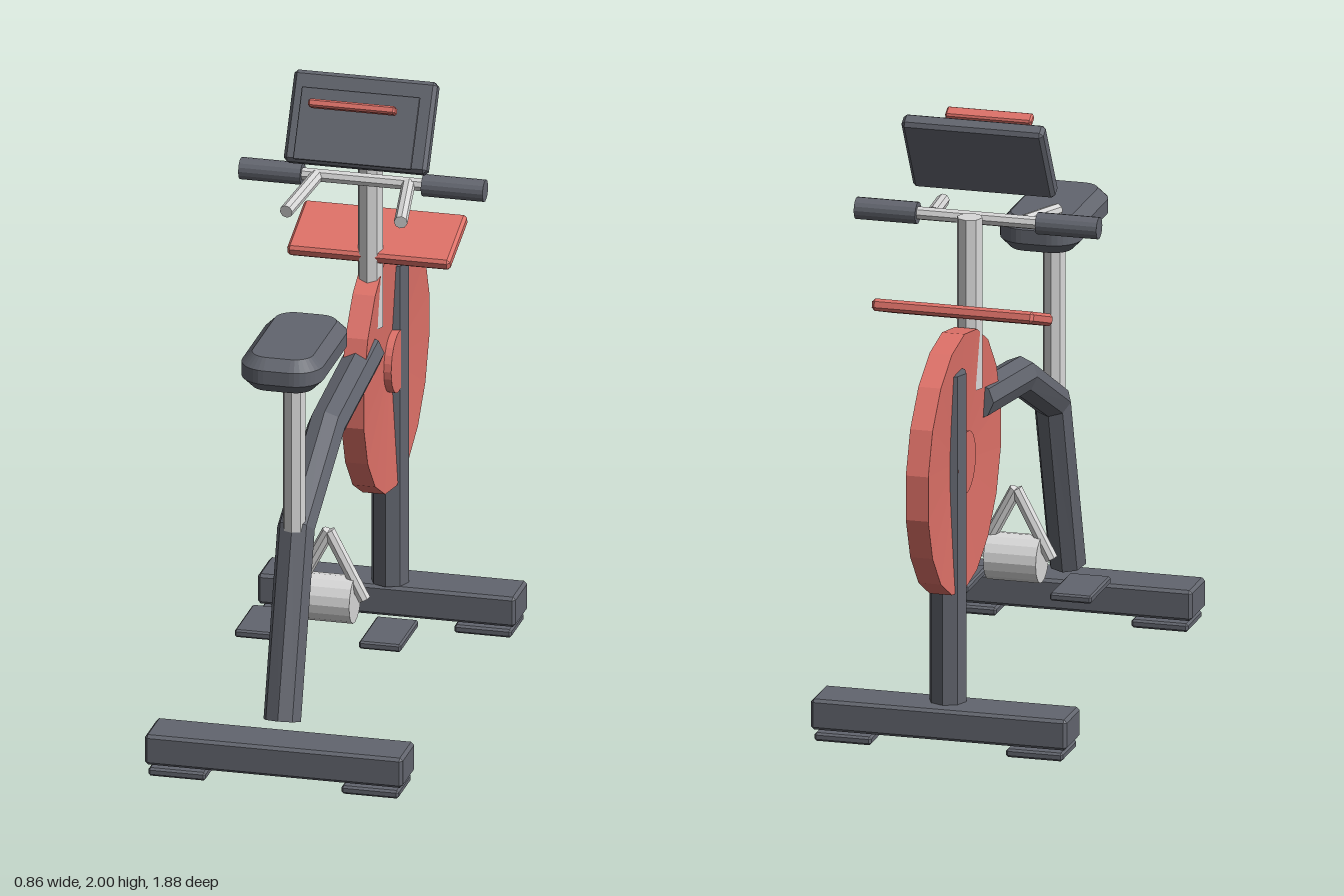
import * as THREE from 'three';
import { ConvexGeometry } from 'three/addons/geometries/ConvexGeometry.js';

const mat = (name, color) => new THREE.MeshStandardMaterial({ name, color });
const V = (x, y, z) => new THREE.Vector3(x, y, z);

// faceted normals for low-poly shapes
function flat(geometry) {
  const g = geometry.index ? geometry.toNonIndexed() : geometry;
  g.computeVertexNormals();
  return g;
}

// box with chamfered edges
function chamferBox(w, h, d, b) {
  const pts = [], x = w / 2, y = h / 2, z = d / 2;
  for (const i of [-1, 1]) for (const j of [-1, 1]) for (const k of [-1, 1]) {
    pts.push(V(i * x, j * (y - b), k * (z - b)));
    pts.push(V(i * (x - b), j * y, k * (z - b)));
    pts.push(V(i * (x - b), j * (y - b), k * z));
  }
  return new ConvexGeometry(pts);
}

// octagonal beam swept through points in the x = 0 plane, with capped ends
function beamGeometry(points, radius, sides = 8) {
  const pos = [], index = [], n = points.length;
  points.forEach((p, i) => {
    const t = V(0, 0, 0);
    if (i > 0) t.add(p.clone().sub(points[i - 1]).normalize());
    if (i < n - 1) t.add(points[i + 1].clone().sub(p).normalize());
    const up = t.normalize().cross(V(1, 0, 0));
    for (let k = 0; k < sides; k++) {
      const a = (k / sides) * Math.PI * 2;
      const q = p.clone().addScaledVector(up, Math.sin(a) * radius);
      pos.push(q.x + Math.cos(a) * radius, q.y, q.z);
    }
  });
  for (let i = 0; i < n - 1; i++) {
    for (let k = 0; k < sides; k++) {
      const a = i * sides + k, b = i * sides + ((k + 1) % sides);
      index.push(a, b, a + sides, b, b + sides, a + sides);
    }
  }
  const last = (n - 1) * sides;
  for (let k = 1; k < sides - 1; k++) {
    index.push(0, k + 1, k, last, last + k, last + k + 1);
  }
  const g = new THREE.BufferGeometry();
  g.setAttribute('position', new THREE.Float32BufferAttribute(pos, 3));
  g.setIndex(index);
  return flat(g);
}

// rounded-corner cushion outline, bevelled above and below
function cushionGeometry(w, d, h, corner, bevel) {
  const x = w / 2 - bevel, y = d / 2 - bevel, r = corner;
  const s = new THREE.Shape();
  s.moveTo(-x + r, -y);
  s.lineTo(x - r, -y);
  s.absarc(x - r, -y + r, r, -Math.PI / 2, 0);
  s.absarc(x - r, y - r, r, 0, Math.PI / 2);
  s.absarc(-x + r, y - r, r, Math.PI / 2, Math.PI);
  s.absarc(-x + r, -y + r, r, Math.PI, Math.PI * 1.5);
  const g = new THREE.ExtrudeGeometry(s, {
    depth: h - 2 * bevel, bevelEnabled: true, bevelThickness: bevel,
    bevelSize: bevel, bevelSegments: 1, curveSegments: 4,
  });
  g.translate(0, 0, -h / 2 + bevel);
  g.rotateX(-Math.PI / 2);
  return g;
}

export function createModel() {
  const group = new THREE.Group();
  group.name = 'exerciseBike';
  const dark = mat('dark grey', 0x62656e);
  const red = mat('coral red', 0xde7168);
  const light = mat('light grey', 0xd8d8d8);

  const add = (name, geometry, material, x = 0, y = 0, z = 0, tilt = 0) => {
    const m = new THREE.Mesh(geometry, material);
    m.name = name;
    m.position.set(x, y, z);
    m.rotation.x = tilt;
    group.add(m);
    return m;
  };
  const box = (name, material, size, at, tilt = 0, bevel = 0.01) =>
    add(name, chamferBox(...size, bevel), material, ...at, tilt);
  const rod = (name, material, a, b, radius, sides = 8) => {
    const g = flat(new THREE.CylinderGeometry(radius, radius, a.distanceTo(b), sides));
    const m = add(name, g, material, ...a.clone().add(b).multiplyScalar(0.5));
    m.quaternion.setFromUnitVectors(V(0, 1, 0), b.clone().sub(a).normalize());
    return m;
  };
  // wheel with its axis across the bike; its faces may dip towards the centre
  const wheel = (name, material, radius, rim, centre, sides, y, z) => {
    const profile = [[0, -centre], [radius, -rim], [radius, rim], [0, centre]];
    const g = new THREE.LatheGeometry(profile.map(p => new THREE.Vector2(...p)), sides, Math.PI / 2);
    g.rotateZ(Math.PI / 2);
    return add(name, flat(g), material, 0, y, z);
  };

  // floor bars and their pads
  for (const [name, z] of [['frontFloorBar', 0.853], ['rearFloorBar', -0.608]]) {
    box(name, dark, [0.855, 0.103, 0.168], [0, 0.088, z]);
    for (const s of [-1, 1]) box('floorPad', dark, [0.19, 0.028, 0.168], [s * 0.32, 0.014, z], 0, 0.007);
  }

  // main frame and upright
  const path = [V(0, 0.188, 0.818), V(0, 0.783, 0.64), V(0, 0.985, 0.25), V(0, 1.05, -0.262)];
  add('mainFrame', beamGeometry(path, 0.062), dark);
  rod('wheelPost', dark, V(0, 0.14, -0.578), V(0, 1.243, -0.578), 0.062);

  // flywheel
  wheel('flywheel', red, 0.43, 0.0375, 0.016, 18, 0.924, -0.515);
  wheel('flywheelHub', red, 0.103, 0.046, 0.046, 24, 0.924, -0.515);

  // seat
  rod('seatPost', light, V(0, 0.79, 0.663), V(0, 1.35, 0.663), 0.038);
  add('seat', cushionGeometry(0.27, 0.478, 0.115, 0.06, 0.034), dark, 0, 1.396, 0.661);

  // handlebar
  rod('handlebarStem', light, V(0, 1.116, -0.323), V(0, 1.688, -0.323), 0.042);
  rod('handlebar', light, V(-0.21, 1.656, -0.228), V(0.21, 1.656, -0.228), 0.022);
  for (const s of [-1, 1]) {
    rod('grip', dark, V(s * 0.2, 1.656, -0.228), V(s * 0.405, 1.656, -0.228), 0.036, 16);
    rod('handlebarHorn', light, V(s * 0.152, 1.656, -0.22), V(s * 0.19, 1.623, 0.027), 0.022);
  }

  // tray
  box('tray', red, [0.54, 0.04, 0.25], [0, 1.394, -0.412], 0.32);

  // console
  const lean = -Math.PI / 6;
  box('console', dark, [0.474, 0.3, 0.056], [0, 1.859, -0.21], lean, 0.012);
  box('consoleScreen', dark, [0.392, 0.237, 0.008], [0, 1.864, -0.145], lean, 0.002);
  box('consoleBar', red, [0.288, 0.027, 0.042], [0, 1.957, -0.092], lean, 0.006);

  // crank and pedals
  wheel('crankHub', light, 0.078, 0.0875, 0.0875, 16, 0.384, 0.217);
  for (const s of [-1, 1]) {
    rod('crankArm', light, V(s * 0.118, 0.388, 0.217), V(0, 0.613, 0.217), 0.022);
    box('pedal', dark, [0.139, 0.026, 0.234], [s * 0.206, 0.287, 0.246], 0, 0.006);
  }
  return group;
}
